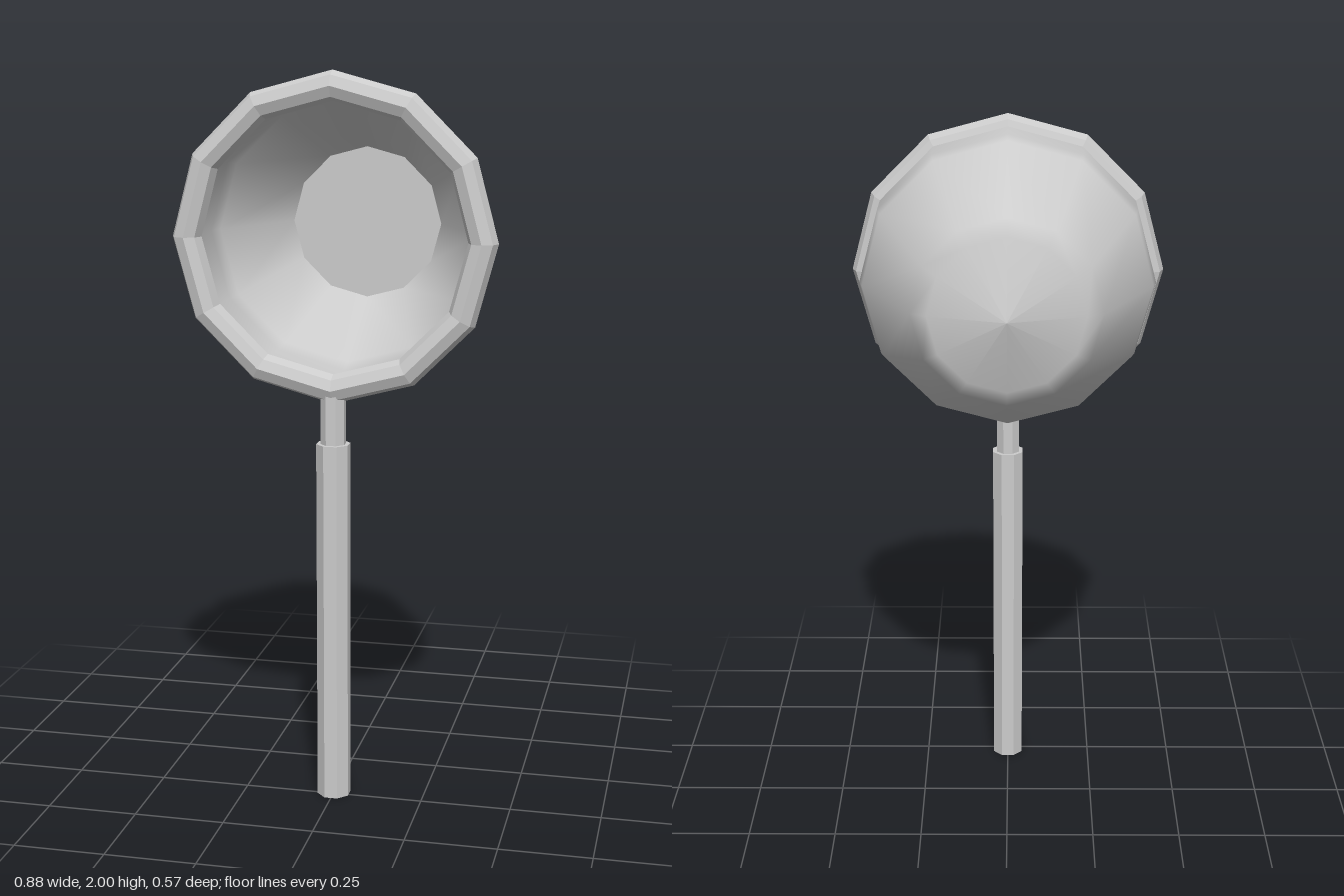
import * as THREE from 'three';

const SIDES = 12;      // facets around the hoop and bag
const HOOP_Y = 1.56;   // height of the hoop centre
const HOOP_Z = 0.24;   // plane of the hoop and handle

export function createModel() {
  const group = new THREE.Group();
  const flat = new THREE.MeshStandardMaterial({ color: 0xcccccc, flatShading: true });
  const smooth = new THREE.MeshStandardMaterial({ color: 0xcccccc });

  const add = (name, geometry, material, y, z) => {
    const mesh = new THREE.Mesh(geometry, material);
    mesh.name = name;
    mesh.position.set(0, y, z);
    group.add(mesh);
  };

  // Surface of revolution about the z axis from [radius, z] pairs
  const revolve = (profile) =>
    new THREE.LatheGeometry(profile.map(([r, z]) => new THREE.Vector2(r, z)), SIDES).rotateX(Math.PI / 2);

  // Eight-sided rod with a flat side to the front
  const rod = (radius, height) =>
    new THREE.CylinderGeometry(radius, radius, height, 8).rotateY(Math.PI / 8);

  // Handle: thick grip and the thinner shaft that joins the hoop
  add('grip', rod(0.047, 1.01), flat, 0.505, HOOP_Z);
  add('shaft', rod(0.035, 0.16), flat, 1.08, HOOP_Z);

  // Hoop around the mouth
  add('hoop', new THREE.TorusGeometry(0.4, 0.04, 8, SIDES), flat, HOOP_Y, HOOP_Z);

  // Bag: outer shell with a shallow pointed end
  add('bagOuter', revolve([[0, -0.285], [0.21, -0.225], [0.255, -0.2], [0.4, 0.06], [0.41, 0.1], [0.41, 0.24]]),
    smooth, HOOP_Y, 0);

  // Bag: inner wall facing the mouth, and its flat bottom
  add('bagInner', revolve([[0.38, 0.24], [0.375, 0.1], [0.36, 0.06], [0.215, -0.2]]), smooth, HOOP_Y, 0);
  add('bagBottom', new THREE.CircleGeometry(0.215, SIDES), smooth, HOOP_Y, -0.2);

  return group;
}
